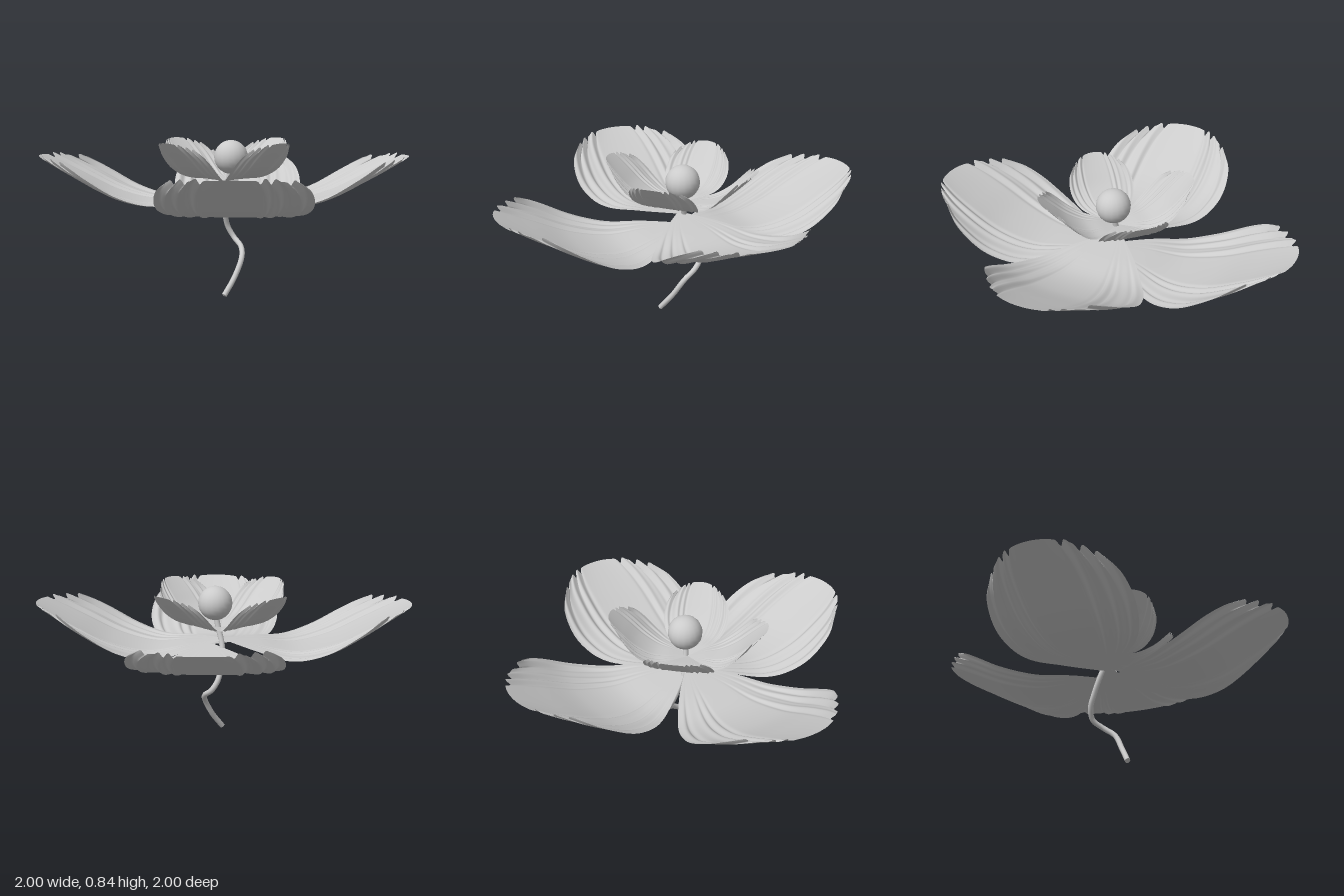
import * as THREE from 'three';

const material = new THREE.MeshStandardMaterial({ color: 0xcccccc, side: THREE.DoubleSide });

// Smooth interpolation through [position, value] pairs
function profile(points) {
  const curve = new THREE.SplineCurve(points.map(([a, b]) => new THREE.Vector2(a, b)));
  const samples = curve.getPoints(200);
  return (t) => {
    let i = 1;
    while (i < samples.length - 1 && samples[i].x < t) i++;
    const a = samples[i - 1], b = samples[i];
    return a.y + (b.y - a.y) * THREE.MathUtils.clamp((t - a.x) / (b.x - a.x), 0, 1);
  };
}

const halfWidth = profile([[0, 0.02], [0.2, 0.17], [0.44, 0.31], [0.6, 0.365], [0.75, 0.383], [0.9, 0.36], [1, 0.305]]);
const lift = profile([[0, 0.04], [0.2, 0.02], [0.4, 0], [0.6, 0.045], [0.8, 0.14], [1, 0.245]]);
const folds = [-0.86, -0.7, -0.47, 0.4, 0.55, 0.84];
const bell = (d, width) => Math.exp(-((d / width) ** 2));

// A unit petal pointing along +z: cupped sheet with lengthwise folds that end in notches
function petalGeometry() {
  const geometry = new THREE.PlaneGeometry(2, 1, 110, 44);
  const p = geometry.attributes.position;
  for (let i = 0; i < p.count; i++) {
    const u = p.getX(i), v = p.getY(i) + 0.5;
    let length = 1 - 0.2 * Math.abs(u) ** 2.2;
    let crease = 0;
    for (const f of folds) {
      length -= 0.025 * bell(u - f, 0.03);
      crease += 0.012 * bell(u - f - 0.06 * Math.sign(f), 0.05) - 0.016 * bell(u - f, 0.035);
    }
    const z = v * length;
    const y = lift(0.7 * v + 0.3 * z) + crease * THREE.MathUtils.smoothstep(v, 0.15, 0.8);
    p.setXYZ(i, u * halfWidth(v), y, z);
  }
  geometry.computeVertexNormals();
  return geometry;
}

export function createModel() {
  const flower = new THREE.Group();
  flower.name = 'flower';
  const add = (name, geometry) => {
    const mesh = new THREE.Mesh(geometry, material);
    mesh.name = name;
    flower.add(mesh);
    return mesh;
  };
  const petal = petalGeometry();

  // Four large outer petals, opposite ones mirrored
  for (const side of [1, -1]) {
    const lengthwise = add(side > 0 ? 'frontPetal' : 'backPetal', petal);
    lengthwise.position.set(0.07, 0.48, 0);
    lengthwise.scale.z = side;

    const sideways = new THREE.Group();
    sideways.name = side > 0 ? 'leftPetal' : 'rightPetal';
    const mesh = new THREE.Mesh(petal, material);
    mesh.rotation.y = Math.PI / 2;
    sideways.add(mesh);
    sideways.position.set(0, 0.515, -0.015);
    sideways.scale.x = side;
    flower.add(sideways);
  }

  // Four small inner petals on the diagonals, tilted upward
  for (let k = 0; k < 4; k++) {
    const inner = add('innerPetal' + (k + 1), petal);
    inner.rotation.set(-0.28, Math.PI / 4 + k * Math.PI / 2, 0, 'YXZ');
    inner.scale.set(k % 2 ? -0.47 : 0.47, 0.47, 0.47);
    inner.position.set(0.01, 0.6, -0.015);
  }

  // Round centre
  add('flowerCentre', new THREE.SphereGeometry(0.092, 18, 14)).position.set(0.043, 0.75, -0.01);

  // Bent stem, running up to the centre
  const path = new THREE.CatmullRomCurve3([
    [0.01, 0.008, 0.11], [0.065, 0.1, 0.06], [0.103, 0.2, 0.005], [0.097, 0.25, -0.06],
    [0.06, 0.29, -0.108], [0.025, 0.35, -0.108], [0.01, 0.42, -0.083], [0.005, 0.52, -0.045],
    [0.025, 0.61, -0.02], [0.04, 0.68, -0.01],
  ].map((c) => new THREE.Vector3(...c)));
  add('stem', new THREE.TubeGeometry(path, 60, 0.015, 10));

  // Closed foot of the stem
  const foot = add('stemFoot', new THREE.CircleGeometry(0.015, 10));
  foot.position.copy(path.getPoint(0));
  foot.quaternion.setFromUnitVectors(new THREE.Vector3(0, 0, 1), path.getTangent(0).negate());

  return flower;
}
